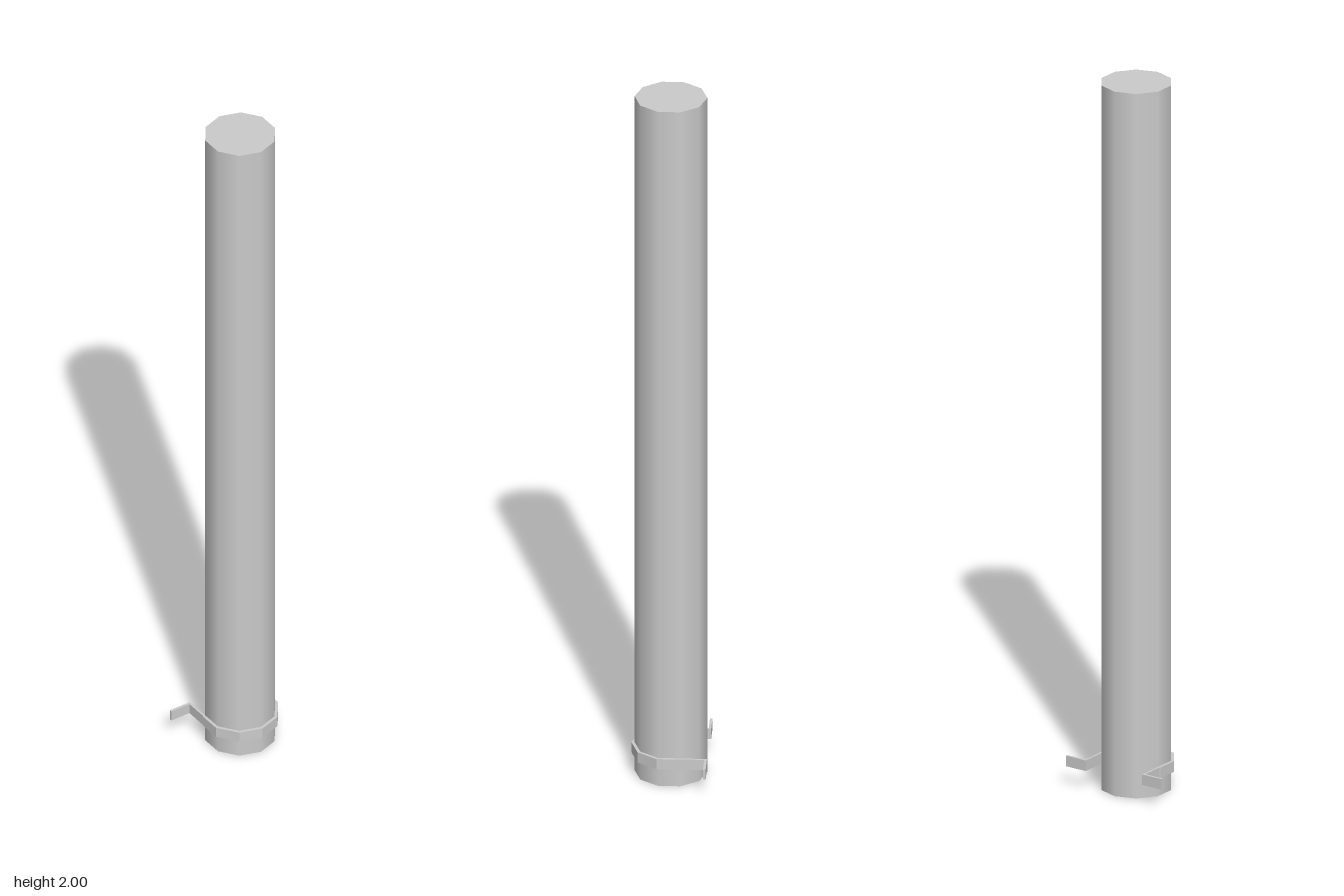
import * as THREE from 'three';

export function createModel() {
  const group = new THREE.Group();
  const material = new THREE.MeshStandardMaterial({ color: 0xcccccc });

  // Ten-sided pole with smooth sides and flat caps
  const pole = new THREE.Mesh(new THREE.CylinderGeometry(0.0975, 0.0975, 2, 10), material);
  pole.name = 'pole';
  pole.position.set(0, 1, -0.003);
  group.add(pole);

  // Strap around the front of the pole, ending in two outward tabs: half outline as [x, z]
  const outer = [[0, 0.103], [0.062, 0.083], [0.101, 0.03], [0.101, -0.031], [0.099, -0.034],
    [0.099, -0.098], [0.158, -0.098]];
  const inner = [[0.158, -0.105], [0.093, -0.105], [0.093, 0.027], [0.057, 0.076], [0, 0.094]];
  const half = [...outer, ...inner];
  const mirrored = half.slice(1, -1).reverse().map(([x, z]) => [-x, z]);
  const outline = [...half, ...mirrored].map(([x, z]) => new THREE.Vector2(x, z));

  const height = 0.03;
  const strapGeometry = new THREE.ExtrudeGeometry(new THREE.Shape(outline), {
    depth: height, bevelEnabled: false,
  });
  strapGeometry.rotateX(Math.PI / 2);
  const strap = new THREE.Mesh(strapGeometry, material);
  strap.name = 'mountingStrap';
  strap.position.y = 0.053 + height;
  group.add(strap);

  return group;
}
